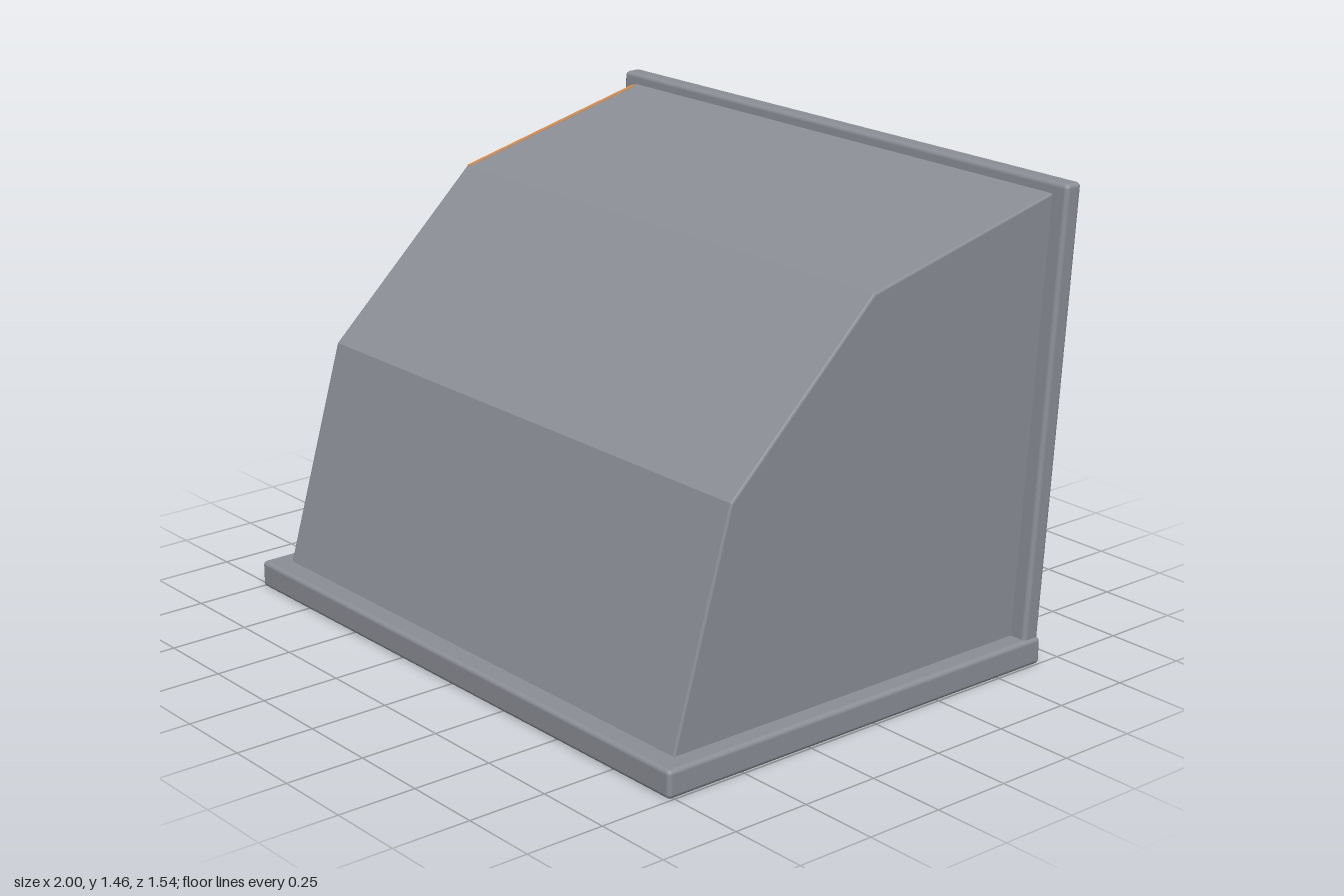
import * as THREE from 'three';
import { RoundedBoxGeometry } from 'three/addons/geometries/RoundedBoxGeometry.js';

// Extrude a side profile of [z, y] points from x0 to x1
function sideExtrude(points, x0, x1, bevel = 0) {
  const shape = new THREE.Shape(points.map(([z, y]) => new THREE.Vector2(-z, y)));
  const geo = new THREE.ExtrudeGeometry(shape, {
    depth: x1 - x0 - 2 * bevel,
    bevelEnabled: bevel > 0,
    bevelThickness: bevel,
    bevelSize: bevel,
    bevelOffset: -bevel,
    bevelSegments: 2,
  });
  return geo.rotateY(Math.PI / 2).translate(x0 + bevel, 0, 0);
}

export function createModel() {
  const model = new THREE.Group();
  const grey = new THREE.MeshStandardMaterial({ name: 'slate grey', color: 0x8c8f97 });
  const orange = new THREE.MeshStandardMaterial({ name: 'edge orange', color: 0xd08a50 });
  const add = (name, geo, mat) => {
    const mesh = new THREE.Mesh(geo, mat);
    mesh.name = name;
    model.add(mesh);
  };

  // Base slab with softened edges
  add('base', new RoundedBoxGeometry(2, 0.086, 1.445, 3, 0.014).translate(0, 0.043, 0.0475), grey);

  // Faceted housing
  const profile = [[0.71, 0.05], [0.5, 0.77], [-0.015, 1.258], [-0.72, 1.428], [-0.63, 0.05]];
  add('housing', sideExtrude(profile, -0.937, 0.937, 0.006), grey);

  // Back plate leaning backwards
  const plate = new RoundedBoxGeometry(1.984, 1.41, 0.06, 3, 0.014).translate(0, 0.755, -0.636);
  plate.applyMatrix4(new THREE.Matrix4().makeShear(0, 0, 0, -0.073, 0, 0));
  add('backPlate', plate, grey);

  // Accent along the upper housing edge
  const strip = [[-0.02, 1.247], [-0.02, 1.2605], [-0.7, 1.4245], [-0.7, 1.411]];
  add('housingEdgeAccent', sideExtrude(strip, -0.938, -0.922), orange);

  // Accent on the rear corner of the base
  add('baseCornerAccent',
    new THREE.CylinderGeometry(0.015, 0.015, 0.058, 16).translate(-0.986, 0.043, -0.661), orange);

  return model;
}
